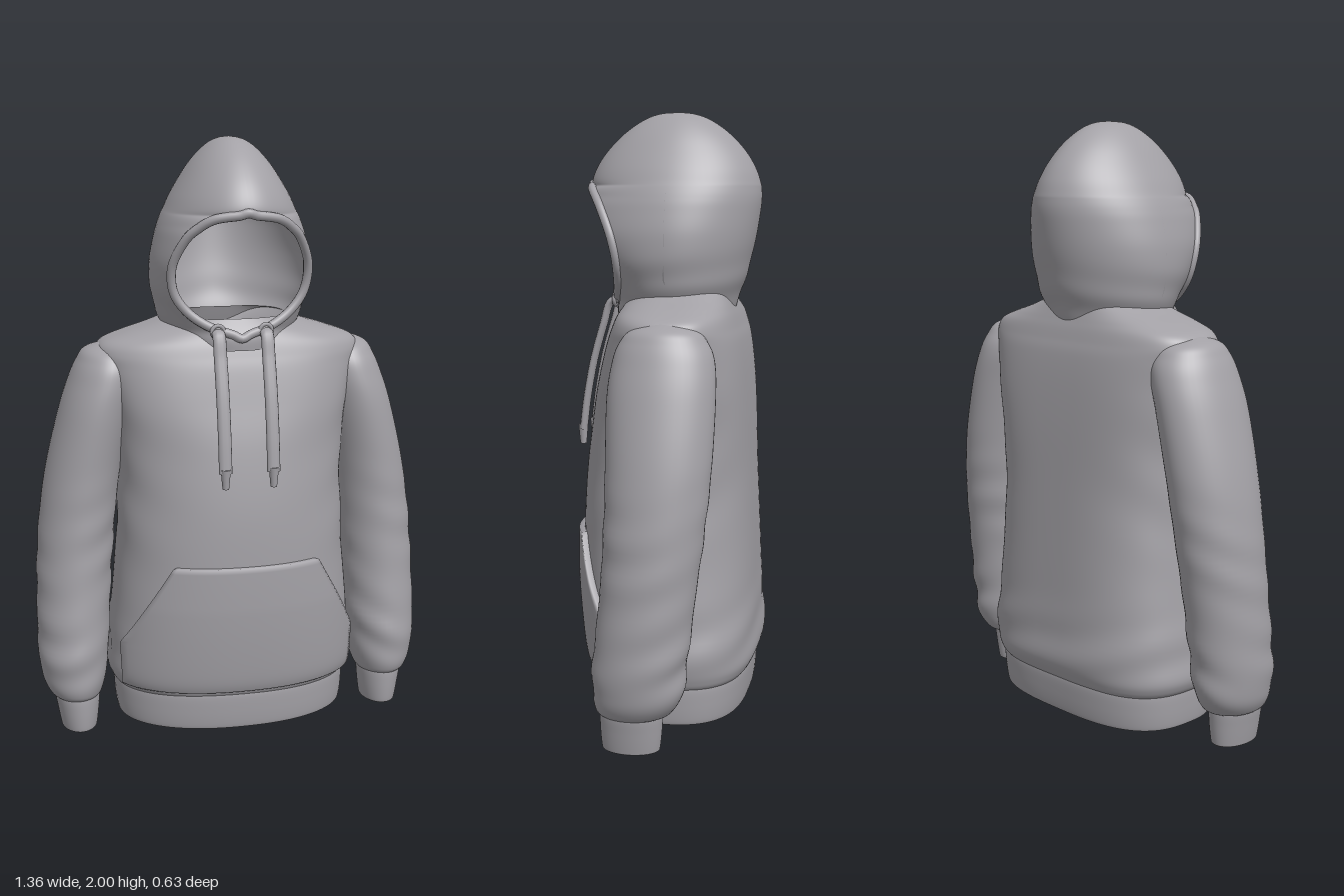
import * as THREE from 'three';

const fabric = new THREE.MeshStandardMaterial({ color: 0xa3a1a6, side: THREE.DoubleSide });
fabric.name = 'greyFabric';

const mesh = (name, geometry) => {
  const m = new THREE.Mesh(geometry, fabric);
  m.name = name;
  return m;
};

// Smooth (Catmull-Rom) resampling of a table of rows
function resample(rows, steps) {
  const out = [];
  const at = i => rows[Math.min(Math.max(i, 0), rows.length - 1)];
  for (let i = 0; i < rows.length - 1; i++) {
    for (let s = 0; s < steps; s++) {
      const t = s / steps, t2 = t * t, t3 = t2 * t;
      out.push(rows[i].map((p1, k) => {
        const p0 = at(i - 1)[k], p2 = at(i + 1)[k], p3 = at(i + 2)[k];
        return 0.5 * (2 * p1 + (p2 - p0) * t + (2 * p0 - 5 * p1 + 4 * p2 - p3) * t2
          + (3 * p1 - p0 - 3 * p2 + p3) * t3);
      }));
    }
  }
  out.push(rows[rows.length - 1]);
  return out;
}

// Surface through a grid of points; wrap joins the last column to the first
function skin(grid, wrap) {
  const n = grid[0].length, index = [];
  for (let i = 0; i < grid.length - 1; i++) {
    for (let j = 0; j < (wrap ? n : n - 1); j++) {
      const k = (j + 1) % n;
      const a = i * n + j, b = i * n + k, c = a + n, d = b + n;
      index.push(a, b, d, a, d, c);
    }
  }
  const g = new THREE.BufferGeometry();
  g.setAttribute('position', new THREE.Float32BufferAttribute(grid.flat(2), 3));
  g.setIndex(index);
  g.computeVertexNormals();
  return g;
}

// Point on a horizontal section [y, xMin, xMax, zFront, zBack];
// powers below 1 make the front or back half squarer
function sectionPoint([y, x0, x1, zF, zB], angle, scale, [frontPower, backPower]) {
  const s = Math.sin(angle), c = Math.cos(angle), p = c < 0 ? backPower : frontPower;
  const bend = v => Math.sign(v) * Math.abs(v) ** p;
  return [(x0 + x1) / 2 + (x1 - x0) / 2 * bend(s) * scale, y,
    (zF + zB) / 2 + (zF - zB) / 2 * bend(c) * scale];
}

function loft(rows, { steps = 6, sides = 64, folds = () => 0, powers = () => [1, 1] } = {}) {
  const grid = resample(rows, steps).map(row => Array.from({ length: sides }, (_, j) => {
    const angle = j / sides * Math.PI * 2;
    return sectionPoint(row, angle, 1 + folds(row[0], angle), powers(row[0]));
  }));
  return skin(grid, true);
}

const widthRows = rows => rows.map(([y, a, zF, zB]) => [y, -a, a, zF, zB]);
const bump = (y, centre, spread) => Math.exp(-(((y - centre) / spread) ** 2));

// The chest and the shoulder blades are the squarest part of the body
const bodyPowers = y => [0.9 - 0.15 * bump(y, 1.15, 0.14), 0.68 - 0.13 * bump(y, 1.1, 0.2)];

// y, half width, front z, back z
const torsoRows = widthRows([
  [0.135, 0.395, 0.25, -0.265], [0.165, 0.42, 0.268, -0.288], [0.23, 0.43, 0.283, -0.303],
  [0.4, 0.415, 0.295, -0.295], [0.6, 0.395, 0.297, -0.287], [0.8, 0.385, 0.288, -0.278],
  [1.0, 0.388, 0.26, -0.268], [1.15, 0.408, 0.225, -0.256], [1.25, 0.436, 0.2, -0.243],
  [1.3, 0.45, 0.183, -0.23], [1.335, 0.43, 0.17, -0.22], [1.362, 0.36, 0.157, -0.21],
  [1.388, 0.275, 0.14, -0.2], [1.415, 0.2, 0.12, -0.19]]);

// y, half width, front edge z, back z, half width of the face opening
const hoodRows = [
  [1.32, 0.198, 0.19, -0.195, 0], [1.36, 0.212, 0.19, -0.21, 0], [1.4, 0.232, 0.172, -0.224, 0.105],
  [1.45, 0.252, 0.155, -0.24, 0.178], [1.52, 0.266, 0.152, -0.26, 0.219], [1.6, 0.266, 0.17, -0.278, 0.224],
  [1.68, 0.25, 0.207, -0.291, 0.19], [1.72, 0.238, 0.233, -0.295, 0.152], [1.75, 0.226, 0.258, -0.294, 0.1],
  [1.768, 0.217, 0.278, -0.291, 0], [1.81, 0.197, 0.267, -0.277, 0], [1.86, 0.168, 0.237, -0.249, 0],
  [1.91, 0.135, 0.192, -0.207, 0], [1.95, 0.101, 0.144, -0.16, 0], [1.98, 0.066, 0.093, -0.11, 0],
  [1.995, 0.033, 0.047, -0.062, 0], [2.0, 0, -0.01, -0.01, 0]];

function buildHood() {
  const hood = new THREE.Group(), edge = [], zc = -0.015, steps = 6, sides = 72;
  hood.name = 'hood';
  const grid = resample(hoodRows, steps).map(([y, a, zE, zB, w], i) => {
    const start = Math.asin(Math.min(Math.max(w, 0) / Math.max(a, 1e-4), 0.96));
    const front = (zE - zc) / Math.cos(start);
    const row = Array.from({ length: sides + 1 }, (_, j) => {
      const t = start + (Math.PI * 2 - 2 * start) * j / sides;
      const s = Math.sin(t), c = Math.cos(t);
      const fold = 1 + 0.012 * Math.sin(y * 48 + Math.abs(t - Math.PI) * 2) * bump(y, 1.42, 0.09);
      // The back narrows towards its centre line
      const narrow = c < 0 ? 1 - 0.09 * c * c : 1;
      return [a * s * fold * narrow, y, zc + (c > 0 ? front : (zc - zB) * fold) * c];
    });
    // Rows 1 to 9 of the table bound the opening
    if (i >= steps && i <= 9 * steps) edge.push(row[0]);
    return row;
  });
  hood.add(mesh('hoodShell', skin(grid, false)));

  // Rolled rim around the face opening
  const right = edge.map(p => new THREE.Vector3(...p));
  const left = right.slice(1, -1).reverse().map(p => new THREE.Vector3(-p.x, p.y, p.z));
  const rim = new THREE.CatmullRomCurve3([...right, ...left].filter((_, i) => i % 2 === 0), true);
  hood.add(mesh('hoodRim', new THREE.TubeGeometry(rim, 160, 0.015, 12, true)));

  // Lining behind the rim, set in from the shell
  const lining = resample(hoodRows.slice(2, 9), steps).map(([y, a, zE, , w]) => {
    const start = Math.asin(Math.min(w / a, 0.96)), front = (zE - zc) / Math.cos(start);
    return Array.from({ length: 13 }, (_, j) => {
      const t = start + (Math.PI / 2 - start) * j / 12, inset = 1 - 0.08 * Math.sin(j / 12 * Math.PI);
      return [a * Math.sin(t) * inset, y, zc + front * Math.cos(t) * inset];
    });
  });
  for (const side of [1, -1]) {
    hood.add(mesh('hoodLining', skin(lining.map(r => r.map(([x, y, z]) => [x * side, y, z])), false)));
  }
  return hood;
}

// Kangaroo pocket wrapped over the belly, with turned-in edges
function buildPocket() {
  const rows = resample(torsoRows, 12).filter(r => r[0] > 0.165 && r[0] < 0.625);
  const halfWidth = y => y > 0.33 ? THREE.MathUtils.lerp(0.39, 0.235, (y - 0.33) / 0.285) : 0.392;
  const n = 40;
  const line = (row, lift) => Array.from({ length: n + 3 }, (_, j) => {
    const u = THREE.MathUtils.clamp((j - 1) / n, 0, 1) * 2 - 1, powers = bodyPowers(row[0]);
    const reach = Math.abs(u) * halfWidth(row[0]) / row[2];
    const angle = Math.sign(u) * Math.asin(reach ** (1 / powers[0]));
    const border = j === 0 || j === n + 2;
    return sectionPoint(row, angle, border ? 0.985 : lift, powers);
  });
  const grid = rows.map(r => line(r, 1.03 + 0.033 * Math.min(1, Math.max(0, (r[0] - 0.165) / 0.3))));
  grid.unshift(line(rows[0], 0.985));
  grid.push(line(rows[rows.length - 1], 0.985));
  return mesh('frontPocket', skin(grid, false));
}

function buildSleeve(side) {
  const sleeve = new THREE.Group();
  sleeve.name = side > 0 ? 'leftSleeve' : 'rightSleeve';
  const place = rows => rows.map(([y, inner, outer, f, b]) =>
    side > 0 ? [y, inner, outer, f, b] : [y, -outer, -inner, f, b]);
  // y, inner x, outer x, front z, back z
  const arm = place([
    [0.115, 0.475, 0.622, 0.125, -0.065], [0.135, 0.46, 0.645, 0.142, -0.1], [0.19, 0.445, 0.667, 0.152, -0.132],
    [0.3, 0.432, 0.677, 0.15, -0.148], [0.5, 0.418, 0.673, 0.13, -0.17], [0.7, 0.4, 0.66, 0.12, -0.195],
    [0.9, 0.375, 0.63, 0.12, -0.212], [1.1, 0.335, 0.58, 0.125, -0.216], [1.21, 0.305, 0.543, 0.115, -0.208],
    [1.27, 0.305, 0.516, 0.095, -0.185], [1.31, 0.335, 0.486, 0.055, -0.145], [1.336, 0.415, 0.415, -0.04, -0.04]]);
  const folds = (y, t) => 0.035 * Math.sin(y * 44 + side * 2 * Math.sin(t) + 2 * Math.cos(t))
    * (bump(y, 0.28, 0.13) + 0.6 * bump(y, 0.62, 0.18)) * (0.6 + 0.4 * Math.sin(t * 2 + y * 9));
  sleeve.add(mesh('arm', loft(arm, { sides: 48, steps: 9, folds })));
  // Ribbed cuff turned inside
  sleeve.add(mesh('cuff', loft(place([
    [0.14, 0.483, 0.615, 0.115, -0.055], [0.125, 0.472, 0.626, 0.13, -0.068], [0.07, 0.475, 0.618, 0.131, -0.066],
    [0.015, 0.482, 0.608, 0.127, -0.06], [0.003, 0.486, 0.604, 0.122, -0.056], [0.012, 0.495, 0.595, 0.113, -0.047],
    [0.12, 0.495, 0.595, 0.113, -0.047]]), { sides: 40 })));
  return sleeve;
}

// Flat cord hanging from an eyelet, ending in a tip
function buildDrawstring(side) {
  const cord = new THREE.Group();
  cord.name = side > 0 ? 'leftDrawstring' : 'rightDrawstring';
  const path = new THREE.CatmullRomCurve3([
    [0, 1.385, 0.175], [0, 1.375, 0.203], [0, 1.3, 0.228], [0, 1.18, 0.262], [0, 1.05, 0.287], [0, 0.94, 0.301]]
    .map(p => new THREE.Vector3(...p)));
  cord.add(mesh('cord', new THREE.TubeGeometry(path, 40, 0.013, 10).scale(1.7, 1, 1)));
  const tip = mesh('cordTip', new THREE.CylinderGeometry(0.017, 0.011, 0.065, 12));
  tip.position.set(0, 0.922, 0.302);
  const eyelet = mesh('eyelet', new THREE.TorusGeometry(0.02, 0.007, 8, 20));
  eyelet.position.set(0, 1.385, 0.187);
  cord.add(tip, eyelet);
  cord.position.x = 0.08 * side;
  return cord;
}

export function createModel() {
  const hoodie = new THREE.Group();
  hoodie.name = 'hoodie';

  const torsoFolds = (y, t) => 0.012 * Math.sin(y * 36 + 5 * Math.sin(t)) * bump(y, 0.26, 0.12)
    * (Math.cos(t) < 0 ? 1 : 0.4)
    + 0.008 * Math.sin(y * 26 + 4 * Math.cos(t)) * bump(y, 0.85, 0.25) * Math.sin(t) ** 2;
  hoodie.add(mesh('torso', loft(torsoRows, { sides: 96, steps: 8, folds: torsoFolds, powers: bodyPowers })));

  // Hem band turned inside
  hoodie.add(mesh('hemBand', loft(widthRows([
    [0.165, 0.395, 0.25, -0.265], [0.15, 0.408, 0.262, -0.278], [0.09, 0.407, 0.261, -0.276],
    [0.04, 0.402, 0.256, -0.27], [0.027, 0.396, 0.25, -0.264], [0.038, 0.386, 0.24, -0.254],
    [0.15, 0.39, 0.244, -0.258]]), { sides: 96, powers: bodyPowers })));

  hoodie.add(buildPocket(), buildHood());
  for (const side of [1, -1]) hoodie.add(buildSleeve(side), buildDrawstring(side));
  return hoodie;
}
